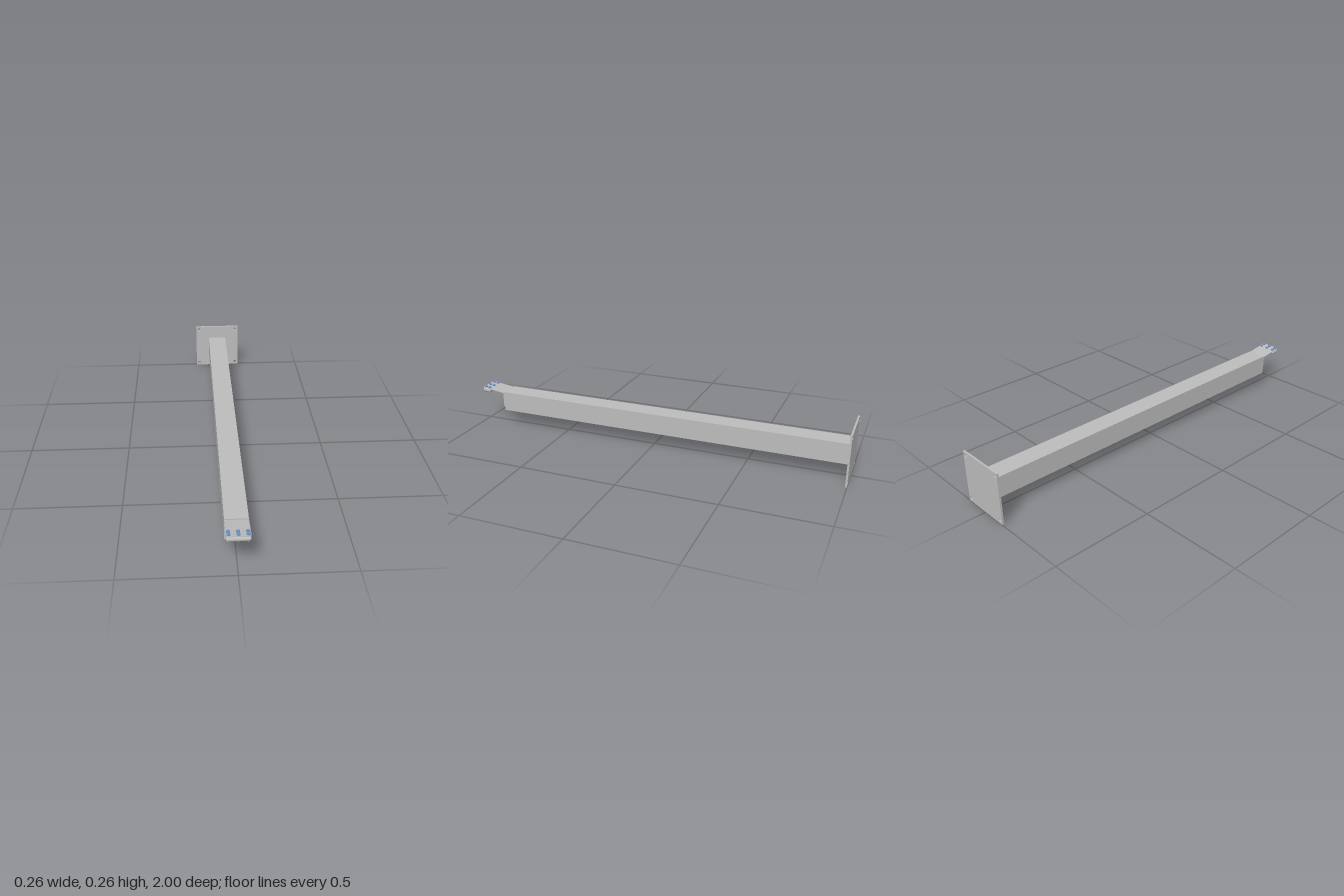
import * as THREE from 'three';
import { RoundedBoxGeometry } from 'three/addons/geometries/RoundedBoxGeometry.js';

const steel = new THREE.MeshStandardMaterial({ color: 0xbcbcbc });
steel.name = 'steel grey';
const blue = new THREE.MeshStandardMaterial({ color: 0x6f93c8 });
blue.name = 'bolt blue';

// Flat plate: rectangle with rounded lower/upper corners and round holes
function plateGeometry(x, y0, y1, depth, rLow, rHigh, holes, holeRadius) {
  const s = new THREE.Shape();
  s.moveTo(-x + rLow, y0);
  s.lineTo(x - rLow, y0);
  if (rLow) s.quadraticCurveTo(x, y0, x, y0 + rLow);
  s.lineTo(x, y1 - rHigh);
  if (rHigh) s.quadraticCurveTo(x, y1, x - rHigh, y1);
  s.lineTo(-x + rHigh, y1);
  if (rHigh) s.quadraticCurveTo(-x, y1, -x, y1 - rHigh);
  s.lineTo(-x, y0 + rLow);
  if (rLow) s.quadraticCurveTo(-x, y0, -x + rLow, y0);
  for (const [hx, hy] of holes) {
    const h = new THREE.Path();
    h.absarc(hx, hy, holeRadius, 0, Math.PI * 2, true);
    s.holes.push(h);
  }
  return new THREE.ExtrudeGeometry(s, { depth, bevelEnabled: false, curveSegments: 12 });
}

function add(parent, name, geometry, material, x = 0, y = 0, z = 0) {
  const m = new THREE.Mesh(geometry, material);
  m.name = name;
  m.position.set(x, y, z);
  parent.add(m);
  return m;
}

export function createModel() {
  const model = new THREE.Group();
  model.name = 'beamWithBracket';

  // Mounting plate with four corner holes
  const corners = [];
  for (const x of [-0.112, 0.112]) for (const y of [0.017, 0.241]) corners.push([x, y]);
  add(model, 'basePlate', plateGeometry(0.129, 0, 0.258, 0.009, 0, 0, corners, 0.008), steel, 0, 0, -1);

  // Long square beam
  add(model, 'beam', new THREE.BoxGeometry(0.102, 0.104, 1.856), steel, 0, 0.131, -0.063);

  // Vertical leg of the bracket, two columns of holes
  const holes = [];
  for (const x of [-0.039, 0.039]) for (const y of [0.105, 0.129, 0.153]) holes.push([x, y]);
  add(model, 'bracketLeg', plateGeometry(0.051, 0.094, 0.178, 0.005, 0.008, 0, holes, 0.0075), steel, 0, 0, 0.865);

  // Central hex bolt on the leg
  const hex = new THREE.CylinderGeometry(0.01, 0.01, 0.008, 6).toNonIndexed();
  hex.computeVertexNormals();
  const centre = add(model, 'centreBolt', hex, blue, 0, 0.13, 0.874);
  centre.rotation.x = Math.PI / 2;

  // Rising arm of the bracket, clamp bar and its bolts
  const arm = new THREE.Group();
  arm.name = 'bracketArm';
  arm.position.set(0, 0.179, 0.866);
  arm.rotation.x = -0.14;
  model.add(arm);
  const tongue = plateGeometry(0.051, 0, 0.13, 0.004, 0, 0.008, [], 0);
  tongue.rotateX(Math.PI / 2);
  add(arm, 'tongue', tongue, steel);
  add(arm, 'clampBar', new RoundedBoxGeometry(0.104, 0.022, 0.046, 5, 0.0105), steel, 0, -0.015, 0.109);

  for (const x of [-0.04, 0, 0.04]) {
    for (const z of [0.096, 0.119]) {
      const bolt = new THREE.Group();
      bolt.name = 'clampBolt';
      bolt.position.set(x, 0, z);
      arm.add(bolt);
      const head = add(bolt, 'boltHead', hex, blue, 0, 0.003, 0);
      head.scale.set(0.9, 0.75, 0.9);
      add(bolt, 'boltShank', new THREE.CylinderGeometry(0.004, 0.004, 0.032, 12), blue, 0, -0.015, 0);
      const nut = add(bolt, 'boltNut', hex, blue, 0, -0.028, 0);
      nut.scale.set(0.5, 0.6, 0.5);
    }
  }
  return model;
}
